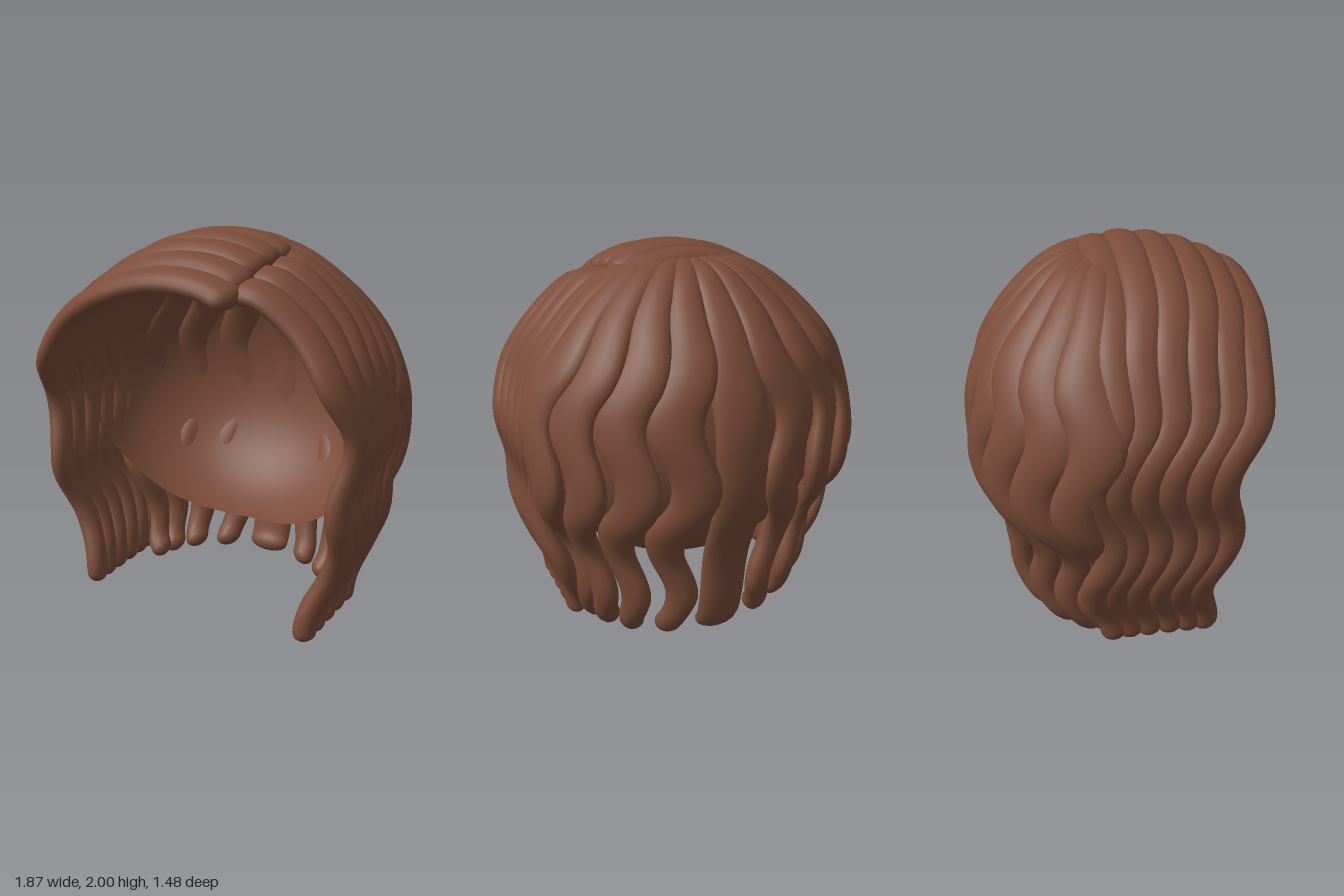
import * as THREE from 'three';

const { lerp, clamp } = THREE.MathUtils;

// Flattened lock of hair swept along a path; its wide side hugs the head and it sways sideways.
function lockGeometry(points, widths, thickness, sway, crest) {
  const curve = new THREE.CatmullRomCurve3(points.map(p => new THREE.Vector3(...p)), false, 'centripetal');
  const rings = 72, sides = 16, pos = [], index = [];
  const frame = u => {
    const p = curve.getPointAt(u), t = curve.getTangentAt(u);
    const n = new THREE.Vector3(p.x, p.y - Math.min(p.y, 1), p.z > 0 ? p.z * 0.4 : p.z);
    n.addScaledVector(t, -n.dot(t)).normalize();
    return { p, n, b: new THREE.Vector3().crossVectors(t, n) };
  };
  for (let i = 0; i <= rings; i++) {
    const u = (1 - Math.cos(Math.PI * i / rings)) / 2;
    const { p, n, b } = frame(u);
    const fade = clamp((1.75 - p.y) / 0.4, 0, 1);
    p.addScaledVector(b, sway * fade * Math.cos(2 * Math.PI * (p.y - crest) / 0.66));
    const edge = Math.min(1, Math.min(u, 1 - u) / 0.025);
    const round = Math.max(0.01, Math.sqrt(1 - (1 - edge) ** 2));
    const w = u < 0.35 ? lerp(widths[0], widths[1], u / 0.35) : lerp(widths[1], widths[2], (u - 0.35) / 0.65);
    for (let k = 0; k < sides; k++) {
      const a = 2 * Math.PI * k / sides;
      const v = p.clone()
        .addScaledVector(b, Math.cos(a) * w / 2 * round)
        .addScaledVector(n, Math.sin(a) * thickness / 2 * round);
      pos.push(v.x, v.y, v.z);
      if (i < rings) {
        const p0 = i * sides + k, p1 = i * sides + (k + 1) % sides;
        index.push(p0, p0 + sides, p1, p1, p0 + sides, p1 + sides);
      }
    }
  }
  return meshData(pos, index);
}

function meshData(pos, index) {
  const g = new THREE.BufferGeometry();
  g.setAttribute('position', new THREE.Float32BufferAttribute(pos, 3));
  g.setIndex(index);
  g.computeVertexNormals();
  return g;
}

// Open cap: rings spread from the back of the head, reaching far forward on top and little below.
function capGeometry() {
  const rings = 40, sides = 72, pos = [], index = [];
  for (let i = 0; i <= rings; i++) {
    for (let k = 0; k < sides; k++) {
      const a = 2 * Math.PI * k / sides, up = Math.sin(a);
      const s = i / rings * (0.88 + 0.97 * ((1 + up) / 2) ** 0.8);
      const r = s < 1 ? Math.sin(s * Math.PI / 2) : 1 - 0.12 * (s - 1) ** 2;
      const z = s < 1 ? -0.63 * Math.cos(s * Math.PI / 2) : 0.6 * (s - 1);
      pos.push(0.83 * r * Math.cos(a), 1.08 + (up > 0 ? 0.82 : 0.75) * r * up, z);
      if (i < rings) {
        const p0 = i * sides + k, p1 = i * sides + (k + 1) % sides;
        index.push(p0, p1, p0 + sides, p1, p1 + sides, p0 + sides);
      }
    }
  }
  return meshData(pos, index);
}

export function createModel() {
  const model = new THREE.Group();
  model.name = 'wavyWig';
  const hair = new THREE.MeshStandardMaterial({ color: 0x7b4c39, side: THREE.DoubleSide });
  hair.name = 'brownHair';
  const add = (name, geometry) => {
    const mesh = new THREE.Mesh(geometry, hair);
    mesh.name = name;
    model.add(mesh);
  };

  add('innerCap', capGeometry());

  // Side locks: [z at the parting, z at ear height, z at the tip, lowering at the hairline]
  const fall = [[0.76, 1.46], [0.83, 1.3], [0.87, 1.1], [0.83, 0.84], [0.82, 0.6], [0.74, 0.38], [0.67, 0.2], [0.65, 0.03]];
  const sideLock = (name, side, top, [z0, z1, z2, drop], width) => {
    const points = [...top, ...fall.map(([x, y]) => [x * side, y])].map(([x, y]) => {
      const z = y > 1.1 ? lerp(z0, z1, clamp((1.8 - y) / 0.7, 0, 1)) : lerp(z1, z2, (1.1 - y) / 1.07);
      return [x, y - drop * clamp((y - 1.2) / 0.7, 0, 1), z];
    });
    add(name, lockGeometry(points, [width, 0.19, 0.14], 0.11, 0.045 * side, 0.74));
  };

  // Long locks swept across the crown to the right
  const across = [[0.36, 1.86], [0.2, 1.93], [0, 1.95], [-0.2, 1.92], [-0.42, 1.82], [-0.62, 1.66]];
  [[0.64, 0.47, 0.4, 0.15], [0.52, 0.36, 0.31, 0.09], [0.39, 0.23, 0.21, 0.04],
    [0.25, 0.1, 0.1, 0.01], [0.11, -0.03, 0, 0], [-0.03, -0.14, -0.09, 0.02]]
    .forEach((z, i) => sideLock('rightLock' + (i + 1), -1, across, z, 0.2));

  // Shorter locks falling left from the parting
  [[0.53, 0.47, 0.4, 0.08], [0.37, 0.33, 0.3, 0.03], [0.2, 0.19, 0.18, 0],
    [0.06, 0.05, 0.06, 0], [-0.02, -0.12, -0.06, 0]].forEach((z, i) => {
    const start = i < 3 ? [[0.31, 1.83]] : [[0.14, 1.89], [0.32, 1.86]];
    sideLock('leftLock' + (i + 1), 1, [...start, [0.43, 1.81], [0.6, 1.67]], z, 0.2);
  });

  // Back locks fan out from the crown and spread apart at the tips: [height, reach]
  const back = [[1.9, 0.12], [1.86, 0.36], [1.7, 0.63], [1.47, 0.86], [1.25, 0.98], [1.05, 1],
    [0.83, 0.97], [0.5, 0.78], [0.22, 0.71], [0.1, 0.66], [0.02, 0.57]];
  for (let i = -4; i <= 4; i++) {
    const a = i * 18 * Math.PI / 180;
    const points = back.map(([y, r]) => {
      const b = a + 0.2 * Math.sin(2 * a) * clamp((0.9 - y) / 0.5, 0, 1);
      return [0.9 * r * Math.sin(b), y, -0.68 * r * Math.cos(b)];
    });
    add('backLock' + (i + 5), lockGeometry(points, [0.12, 0.29, i ? 0.14 : 0.24], 0.12, 0.055 * Math.sign(i), 0.61));
  }
  return model;
}
